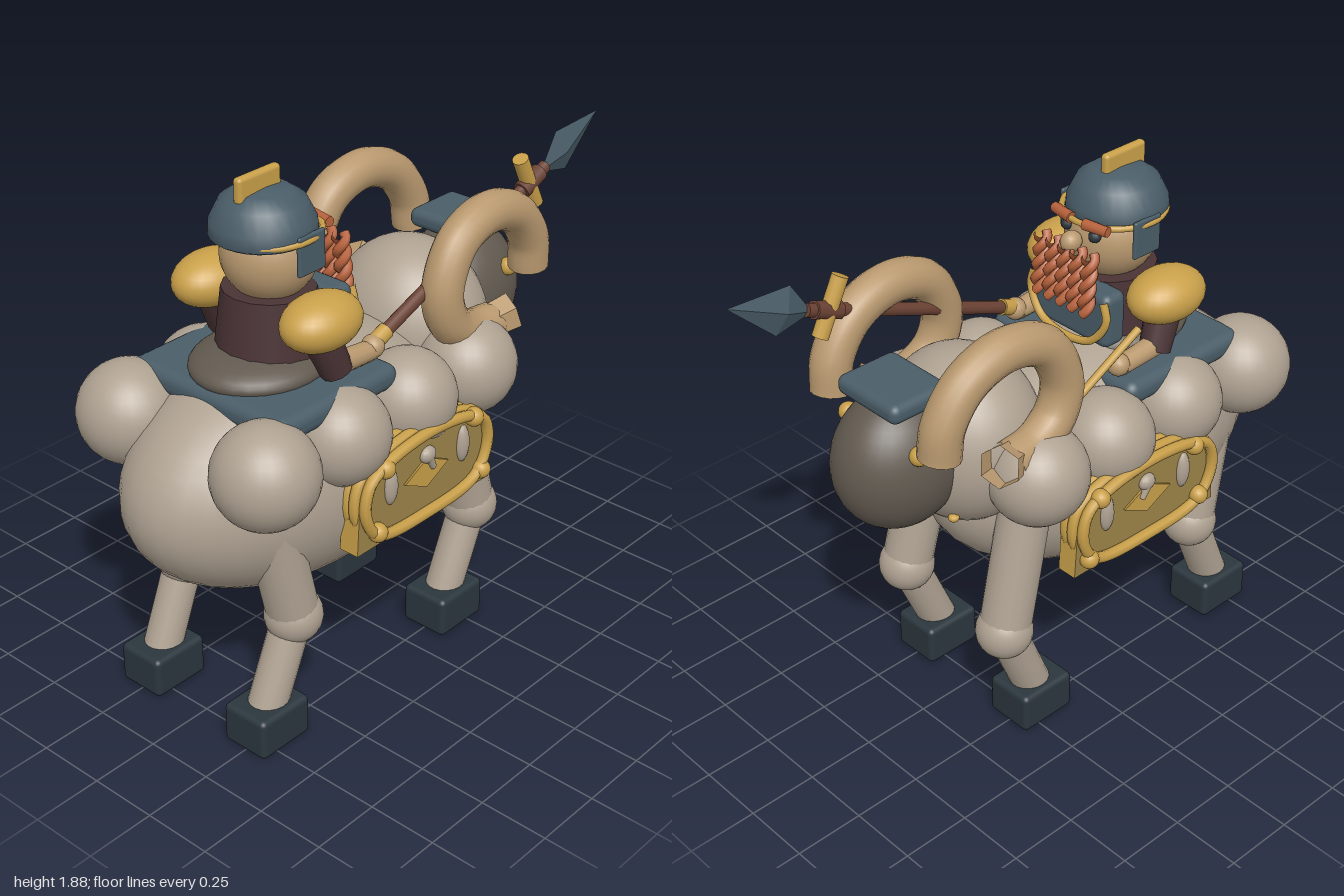
import * as THREE from 'three';
import { toCreasedNormals } from 'three/addons/utils/BufferGeometryUtils.js';
import { RoundedBoxGeometry } from 'three/addons/geometries/RoundedBoxGeometry.js';

const material = (name, color, side = THREE.FrontSide) => {
  const m = new THREE.MeshStandardMaterial({ color, side });
  m.name = name;
  return m;
};
const V = (p) => new THREE.Vector3(...p);

export function createModel() {
  const wool = material('wool', 0xafa292);
  const dark = material('dark face', 0x625a50);
  const tan = material('horn and skin', 0xb9996f, THREE.DoubleSide);
  const gold = material('gold', 0xc9a04a);
  const brass = material('panel brass', 0x9c8448);
  const blue = material('blue steel', 0x4a5d68, THREE.DoubleSide);
  const hoof = material('hoof', 0x2b363e);
  const maroon = material('maroon cloth', 0x4a3335);
  const orange = material('braid', 0xb8623c);
  const wood = material('wood', 0x6b4234);
  const model = new THREE.Group();

  const add = (name, geo, mat, pos = [0, 0, 0]) => {
    const mesh = new THREE.Mesh(geo, mat);
    mesh.name = name;
    mesh.position.set(...pos);
    model.add(mesh);
    return mesh;
  };
  const ball = (name, mat, pos, rx, ry = rx, rz = rx, seg = 28) => {
    const mesh = add(name, new THREE.SphereGeometry(1, seg, Math.round(seg * 0.7)), mat, pos);
    mesh.scale.set(rx, ry, rz);
    return mesh;
  };
  const box = (name, mat, pos, size, r = 0.015) =>
    add(name, new RoundedBoxGeometry(...size, 3, r), mat, pos);
  // Tapered rod from a to b
  const rod = (name, mat, a, b, r0, r1 = r0, sides = 18) => {
    const d = V(b).sub(V(a));
    const mesh = add(name, new THREE.CylinderGeometry(r1, r0, d.length(), sides), mat);
    mesh.position.copy(V(a)).addScaledVector(d, 0.5);
    mesh.quaternion.setFromUnitVectors(new THREE.Vector3(0, 1, 0), d.normalize());
    return mesh;
  };
  const tube = (name, mat, pts, r, closed = false, seg = 48, sides = 10) =>
    add(name, new THREE.TubeGeometry(new THREE.CatmullRomCurve3(pts.map(V), closed), seg, r, sides, closed), mat);

  // Animal body, chest and face
  ball('body', wool, [-0.3, 0.85, 0], 0.7, 0.42, 0.4, 36);
  ball('chest', wool, [0.29, 1.1, 0], 0.26, 0.31, 0.29, 36);
  ball('animalHead', dark, [0.56, 1.13, 0], 0.24, 0.25, 0.195, 36);
  box('foreheadPad', blue, [0.57, 1.39, 0], [0.24, 0.07, 0.29], 0.03);

  for (const s of [1, -1]) {
    // Wool puffs along each flank
    for (const [x, r] of [[-0.745, 0.178], [-0.405, 0.17], [-0.075, 0.17], [0.235, 0.175]])
      ball('woolPuff', wool, [x, 1.055, s * 0.305], r);

    // Front and rear legs
    for (const [top, knee, foot] of [[0.2, 0.34, 0.21], [-0.7, -0.58, -0.71]]) {
      rod('upperLeg', wool, [top, 1.0, s * 0.235], [knee, 0.43, s * 0.255], 0.09, 0.09);
      ball('knee', wool, [knee, 0.43, s * 0.255], 0.1);
      rod('lowerLeg', wool, [knee, 0.43, s * 0.255], [foot - 0.01, 0.1, s * 0.25], 0.068);
      box('hoof', hoof, [foot, 0.075, s * 0.25], [0.225, 0.15, 0.185], 0.02);
    }

    // Curled horn with an open faceted tip
    tube('horn', tan, [
      [0.615, 1.28, s * 0.265], [0.6, 1.39, s * 0.27], [0.51, 1.51, s * 0.275], [0.35, 1.563, s * 0.28],
      [0.19, 1.51, s * 0.285], [0.115, 1.36, s * 0.29], [0.15, 1.24, s * 0.295], [0.25, 1.175, s * 0.3],
      [0.36, 1.16, s * 0.305]], 0.072, false, 48, 16);
    const tip = toCreasedNormals(new THREE.CylinderGeometry(0.072, 0.062, 0.14, 6, 1, true), 0.4);
    const hornTip = add('hornTip', tip, tan, [0.37, 1.17, s * 0.31]);
    hornTip.quaternion.setFromUnitVectors(new THREE.Vector3(0, 1, 0), V([0.86, 0.28, s * 0.4]).normalize());
    ball('bridleStud', gold, [0.62, 1.24, s * 0.175], 0.033, 0.033, 0.033, 14);
    ball('chestStud', gold, [0.455, 0.9, s * 0.14], 0.02, 0.014, 0.02, 10);

    // Flank panel
    const panel = new THREE.Shape();
    panel.moveTo(-0.335, -0.17);
    panel.lineTo(0.335, -0.17);
    panel.lineTo(0.325, 0);
    panel.quadraticCurveTo(0.3, 0.11, 0.22, 0.13);
    panel.quadraticCurveTo(0, 0.18, -0.22, 0.13);
    panel.quadraticCurveTo(-0.3, 0.11, -0.325, 0);
    const slab = new THREE.ExtrudeGeometry(panel, { depth: 0.075, bevelEnabled: false, curveSegments: 8 });
    slab.translate(0, 0, -0.0375);
    add('panelSlab', slab, [brass, gold], [-0.14, 0.85, s * 0.405]);
    const loop = [[-0.25, -0.12], [-0.31, -0.02], [-0.29, 0.08], [-0.215, 0.125], [0, 0.155],
      [0.215, 0.125], [0.29, 0.08], [0.31, -0.02], [0.25, -0.12], [0, -0.15]];
    for (const [z, k] of [[0.385, 1.03], [0.42, 1.04], [0.455, 1]])
      tube('panelFrame', gold, loop.map(([x, y]) => [-0.14 + x * k, 0.85 + y * k, s * z]), 0.02, true, 60, 8);
    for (const [x, y] of [[-0.355, 0.963], [0.093, 0.963], [-0.39, 0.74], [0.14, 0.74]])
      ball('panelStud', gold, [x, y, s * 0.455], 0.034, 0.034, 0.034, 16);
    const diamond = new THREE.CylinderGeometry(0.11, 0.11, 0.009, 4).rotateX(Math.PI / 2).scale(1, 0.5, 1);
    add('panelDiamond', diamond, gold, [-0.14, 0.85, s * 0.446]);
    for (const x of [-0.315, 0.05])
      ball('panelKnot', wool, [x, 0.875, s * 0.44], 0.03, 0.07, 0.025, 14);
    ball('panelCrest', wool, [-0.135, 0.915, s * 0.445], 0.035, 0.03, 0.025, 14);
    rod('panelCrestNeck', wool, [-0.135, 0.91, s * 0.45], [-0.11, 0.86, s * 0.45], 0.018, 0.012, 10);

    // Rider shoulders and arms
    ball('shoulderGuard', gold, [-0.417, 1.44, s * 0.24], 0.153, 0.093, 0.113);
    rod('upperArm', maroon, [-0.43, 1.42, s * 0.23], [-0.36, 1.25, s * 0.25], 0.065, 0.055, 12);
    rod('forearm', tan, [-0.37, 1.27, s * 0.25], [-0.2, 1.255, s * 0.25], 0.04, 0.035, 12);
    ball('hand', tan, [-0.185, 1.265, s * 0.25], 0.04, 0.04, 0.04, 14);

    // Rider face and cheek plates
    box('cheekPlate', blue, [-0.385, 1.64, s * 0.17], [0.12, 0.135, 0.016], 0.007);
    rod('brow', orange, [-0.235, 1.685, s * 0.03], [-0.25, 1.685, s * 0.125], 0.02, 0.018, 10);
    ball('eye', hoof, [-0.25, 1.647, s * 0.065], 0.022, 0.022, 0.022, 12);
  }

  // Blanket and saddle
  box('blanket', blue, [-0.432, 1.18, 0], [0.555, 0.09, 0.69], 0.04);
  ball('saddle', dark, [-0.45, 1.235, 0], 0.245, 0.075, 0.22);

  // Rider torso with trimmed breastplate
  rod('torso', maroon, [-0.41, 1.22, 0], [-0.4, 1.48, 0], 0.18, 0.155, 16);
  box('breastplate', blue, [-0.245, 1.375, 0], [0.1, 0.2, 0.36], 0.03);
  tube('breastplateTrim', gold, [
    [-0.195, 1.46, -0.165], [-0.195, 1.39, -0.18], [-0.185, 1.3, -0.12], [-0.18, 1.275, 0],
    [-0.185, 1.3, 0.12], [-0.195, 1.39, 0.18], [-0.195, 1.46, 0.165]], 0.014);

  // Rider head and helmet
  ball('riderHead', tan, [-0.395, 1.6, 0], 0.16);
  ball('nose', tan, [-0.205, 1.62, 0], 0.04, 0.038, 0.035, 16);
  const dome = [[0.16, 1.665], [0.175, 1.675], [0.172, 1.72], [0.14, 1.785], [0.09, 1.82], [0, 1.828]];
  add('helmet', new THREE.LatheGeometry(dome.map(([r, y]) => new THREE.Vector2(r, y)), 28), blue, [-0.42, 0, 0]);
  add('helmetBand', new THREE.TorusGeometry(0.175, 0.011, 8, 36).rotateX(Math.PI / 2), gold, [-0.405, 1.685, 0]);
  box('helmetCrest', gold, [-0.442, 1.84, 0], [0.187, 0.09, 0.034], 0.014);

  // Beard of twisted braids
  for (let i = 0; i < 5; i++) {
    for (let strand = 0; strand < 2; strand++) {
      const pts = [];
      for (let k = 0; k <= 16; k++) {
        const t = k / 16, a = t * Math.PI * 4 + strand * Math.PI;
        pts.push([-0.185 + 0.02 * t + 0.015 * Math.cos(a), 1.62 - 0.21 * t, (i - 2) * 0.056 + 0.015 * Math.sin(a)]);
      }
      tube('beardBraid', orange, pts, 0.017, false, 32, 7);
    }
  }

  // Spear in the right-hand grip, rein on the other side
  rod('spearShaft', wood, [-0.2, 1.265, 0.25], [0.7, 1.615, 0.255], 0.023, 0.023, 12);
  rod('spearCollar', wood, [0.57, 1.564, 0.255], [0.67, 1.604, 0.255], 0.032, 0.032, 8);
  rod('spearGuard', gold, [0.652, 1.497, 0.255], [0.558, 1.685, 0.255], 0.029, 0.029, 12);
  rod('spearGrip', gold, [-0.19, 1.27, 0.25], [-0.12, 1.297, 0.25], 0.029, 0.029, 12);
  const blade = new THREE.LatheGeometry(
    [[0, 0], [0.085, 0.12], [0, 0.345]].map(([r, y]) => new THREE.Vector2(r, y)), 4).toNonIndexed();
  blade.scale(1, 1, 0.35);
  blade.computeVertexNormals();
  add('spearBlade', blade, blue, [0.676, 1.6, 0.255]).rotation.z = -1.165;
  rod('rein', gold, [-0.24, 1.395, -0.285], [0.06, 1.235, -0.285], 0.014, 0.014, 8);

  return model;
}
